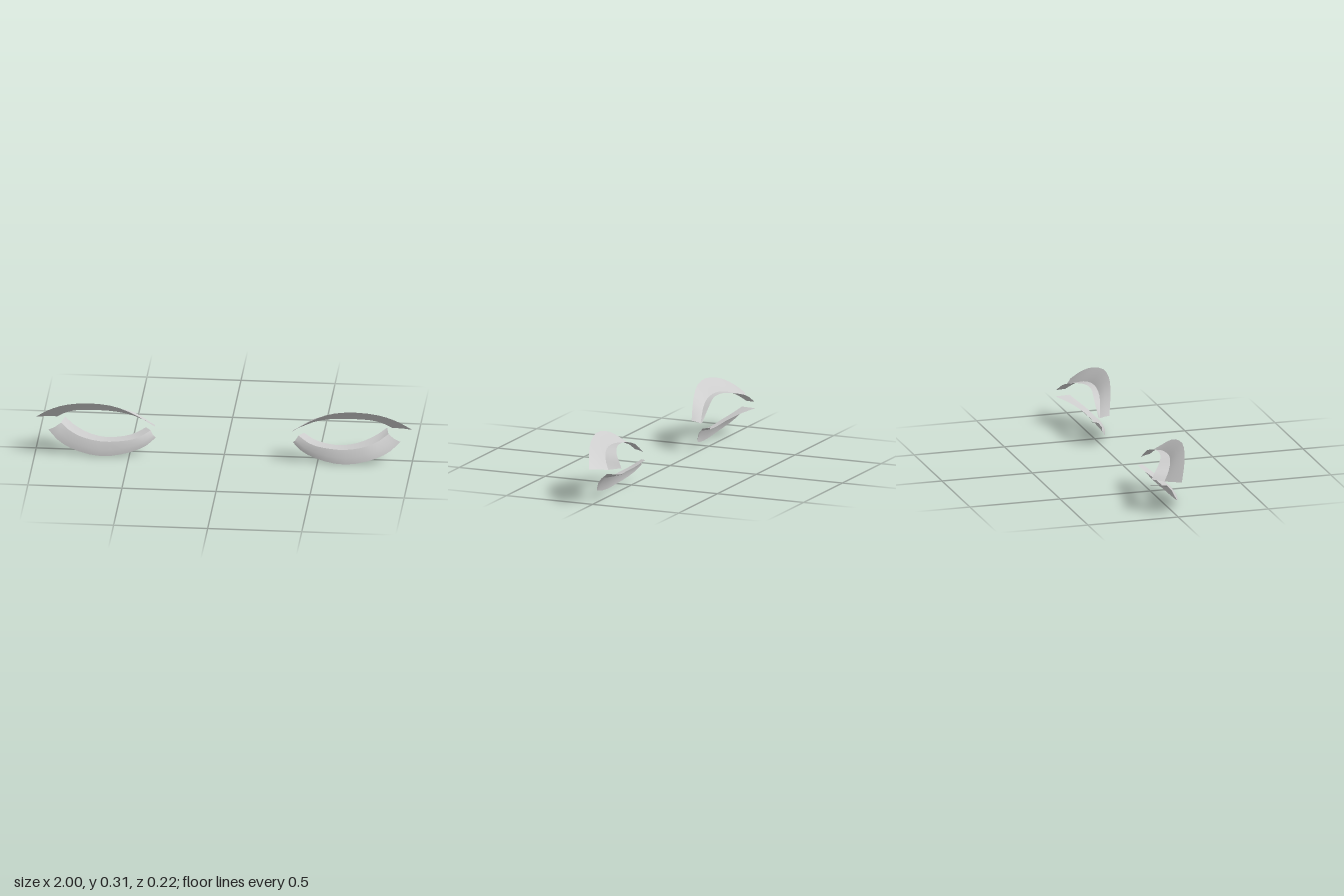
import * as THREE from 'three';

const SEGMENTS = 14;
const material = new THREE.MeshStandardMaterial({ color: 0xcccccc, side: THREE.DoubleSide });

// Rails run from the inner eye corner to the outer one, for the +x eye
const upper = {
  tip: [[0.365, 0.165, 0.04], [0.475, 0.25, 0.08], [0.58, 0.302, 0.106], [0.71, 0.317, 0.112],
    [0.84, 0.291, 0.085], [0.93, 0.245, 0.053], [1, 0.19, 0.02]],
  crease: [[0.37, 0.154, -0.01], [0.49, 0.222, 0.026], [0.59, 0.247, 0.042], [0.7, 0.25, 0.043],
    [0.79, 0.235, 0.02], [0.85, 0.205, -0.01], [0.89, 0.17, -0.042]],
  back: [[0.38, 0.157, -0.016], [0.49, 0.228, -0.008], [0.59, 0.251, 0.008], [0.68, 0.252, 0],
    [0.77, 0.235, -0.035], [0.83, 0.212, -0.075], [0.857, 0.178, -0.103]],
};
const lower = {
  tip: [[0.365, 0.085, 0], [0.42, 0.045, 0.03], [0.52, 0.015, 0.063], [0.65, 0.002, 0.08],
    [0.785, 0.025, 0.065], [0.877, 0.06, 0.03], [0.935, 0.108, -0.005]],
  crease: [[0.393, 0.121, -0.012], [0.46, 0.091, 0.028], [0.55, 0.078, 0.049], [0.65, 0.075, 0.053],
    [0.75, 0.09, 0.04], [0.82, 0.113, 0.01], [0.87, 0.142, -0.025]],
  back: [[0.42, 0.124, -0.045], [0.48, 0.099, -0.015], [0.55, 0.087, 0.004], [0.63, 0.083, 0.01],
    [0.72, 0.097, -0.006], [0.8, 0.121, -0.05], [0.856, 0.143, -0.108]],
};

// Smooth ribbon between two rails; bulge pushes its centre line forward and down
function ribbon(name, railA, railB, side, bulge = 0) {
  const [a, b] = [railA, railB].map((rail) =>
    new THREE.CatmullRomCurve3(rail.map(([x, y, z]) => new THREE.Vector3(x * side, y, z))));
  const rows = 2;
  const geometry = new THREE.PlaneGeometry(1, 1, SEGMENTS, rows);
  const position = geometry.attributes.position;
  for (let j = 0, n = 0; j <= rows; j++) {
    for (let i = 0; i <= SEGMENTS; i++, n++) {
      const t = i / SEGMENTS;
      const p = a.getPoint(t).lerp(b.getPoint(t), j / rows);
      const push = bulge * Math.sin(Math.PI * j / rows);
      position.setXYZ(n, p.x, p.y - push * 0.3, p.z + push);
    }
  }
  // Keep the front side facing outward on both eyes
  if (side < 0) geometry.index.array.reverse();
  geometry.computeVertexNormals();
  const mesh = new THREE.Mesh(geometry, material);
  mesh.name = name;
  return mesh;
}

export function createModel() {
  const model = new THREE.Group();
  model.name = 'eyelashes';
  for (const [label, side] of [['left', 1], ['right', -1]]) {
    for (const [lid, rails, bulge] of [['Upper', upper, -0.004], ['Lower', lower, 0.008]]) {
      const lash = new THREE.Group();
      lash.name = `${label}${lid}Lash`;
      // Flared lash fan and the lid rim folding back behind it
      lash.add(
        ribbon('lashFan', rails.crease, rails.tip, side, bulge),
        ribbon('lidRim', rails.back, rails.crease, side),
      );
      model.add(lash);
    }
  }
  return model;
}
